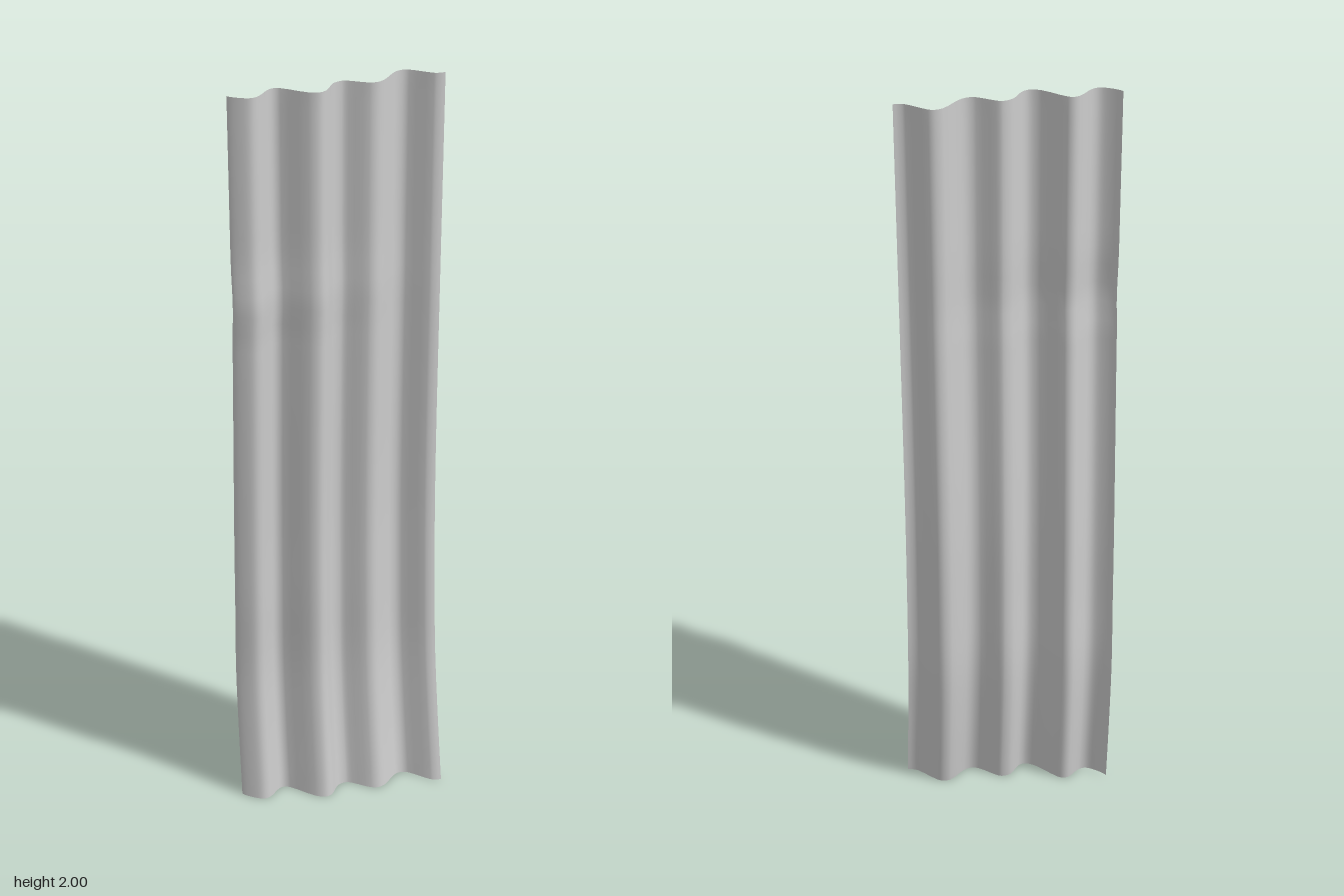
import * as THREE from 'three';

// Pleat profile along the top hem: [x, z]
const PLEATS = [
  [-0.266, -0.047], [-0.262, -0.040], [-0.24, -0.022], [-0.22, -0.013], [-0.2, -0.018],
  [-0.165, -0.050], [-0.15, -0.055], [-0.135, -0.050], [-0.085, 0.000], [-0.06, 0.010],
  [-0.04, 0.002], [-0.01, -0.035], [0.015, -0.043], [0.03, -0.037], [0.07, -0.008],
  [0.09, -0.005], [0.11, -0.014], [0.155, -0.055], [0.175, -0.060], [0.19, -0.055],
  [0.235, -0.013], [0.25, -0.008], [0.262, -0.008],
];

// Billow of the cloth every 0.2 up from the floor: [z offset, twist per unit x]
const BILLOW = [
  [0.040, 0.20], [0.015, 0.165], [-0.004, 0.13], [-0.008, 0.09],
  [-0.010, 0.06], [-0.008, 0.035], [-0.004, 0.015], [0, 0], [0, 0], [0, 0], [0, 0],
];

const curve = (pts) => new THREE.CatmullRomCurve3(pts.map(([a, b]) => new THREE.Vector3(a, 0, b)));

export function createModel() {
  const model = new THREE.Group();
  const fabric = new THREE.MeshStandardMaterial({ color: 0xcccccc, side: THREE.DoubleSide });
  fabric.name = 'pale grey fabric';

  const cols = 66, rows = 40;
  const hem = curve(PLEATS);
  const billow = curve(BILLOW);

  // Hang a flat grid along the pleats, then let its lower part swing
  const geometry = new THREE.PlaneGeometry(1, 2, cols, rows);
  const pos = geometry.attributes.position;
  for (let j = 0; j <= rows; j++) {
    const y = 2 * (1 - j / rows);
    const sway = billow.getPoint(y / 2);
    for (let i = 0; i <= cols; i++) {
      const p = hem.getPoint(i / cols);
      const x = p.x - 0.004 * (1 - y / 2);
      pos.setXYZ(j * (cols + 1) + i, x, y, p.z + sway.x + sway.z * p.x);
    }
  }
  geometry.computeVertexNormals();

  const curtain = new THREE.Mesh(geometry, fabric);
  curtain.name = 'curtain';
  model.add(curtain);
  return model;
}
